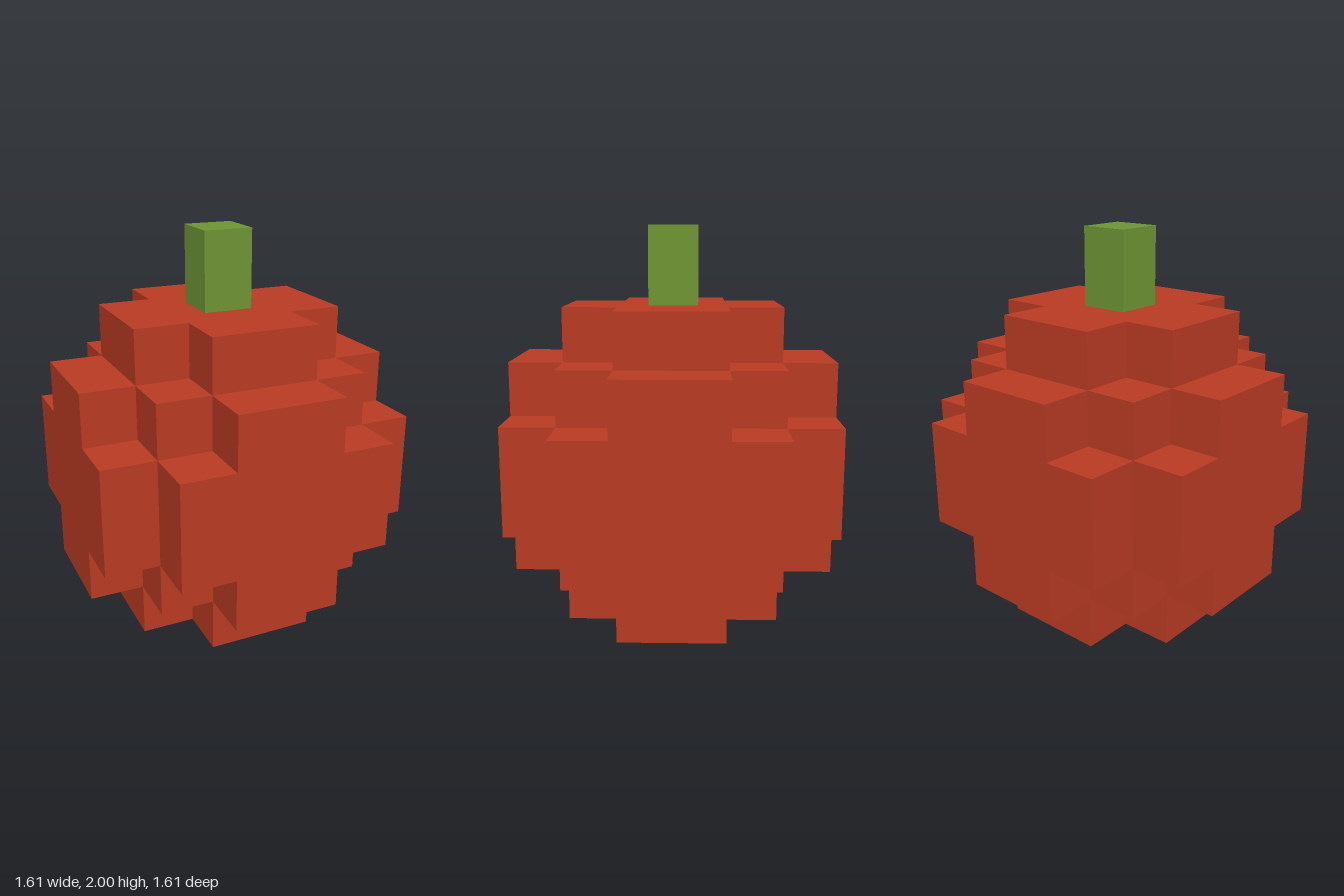
import * as THREE from 'three';
import { mergeGeometries } from 'three/addons/utils/BufferGeometryUtils.js';

const UNIT = 0.268; // edge of one block
const N = 6; // blocks across the body
const BODY = UNIT * N;

// A block is solid when its centre lies inside a sphere (in block units).
function solid(i, j, k) {
  const c = (N - 1) / 2;
  return (i - c) ** 2 + (j - c) ** 2 + (k - c) ** 2 < 9.5;
}

// Blocky round body made only of the exposed block faces.
function bodyGeometry() {
  const faces = [];
  const outward = new THREE.Vector3(0, 0, 1);
  const directions = [[1, 0, 0], [-1, 0, 0], [0, 1, 0], [0, -1, 0], [0, 0, 1], [0, 0, -1]];
  for (let i = 0; i < N; i++) {
    for (let j = 0; j < N; j++) {
      for (let k = 0; k < N; k++) {
        if (!solid(i, j, k)) continue;
        for (const [dx, dy, dz] of directions) {
          if (solid(i + dx, j + dy, k + dz)) continue;
          const turn = new THREE.Quaternion().setFromUnitVectors(outward, new THREE.Vector3(dx, dy, dz));
          faces.push(new THREE.PlaneGeometry(UNIT, UNIT)
            .translate(0, 0, UNIT / 2)
            .applyQuaternion(turn)
            .translate((i + 0.5) * UNIT - BODY / 2, (j + 0.5) * UNIT, (k + 0.5) * UNIT - BODY / 2));
        }
      }
    }
  }
  return mergeGeometries(faces);
}

export function createModel() {
  const red = new THREE.MeshStandardMaterial({ color: 0xb83a23 });
  red.name = 'red skin';
  const green = new THREE.MeshStandardMaterial({ color: 0x6e9434 });
  green.name = 'green stem';

  const model = new THREE.Group();
  model.name = 'blockFruit';

  const body = new THREE.Mesh(bodyGeometry(), red);
  body.name = 'body';

  // Square stem standing on the body
  const height = 2 - BODY;
  const stem = new THREE.Mesh(new THREE.BoxGeometry(0.248, height, 0.248), green);
  stem.name = 'stem';
  stem.position.y = BODY + height / 2;

  model.add(body, stem);
  return model;
}
